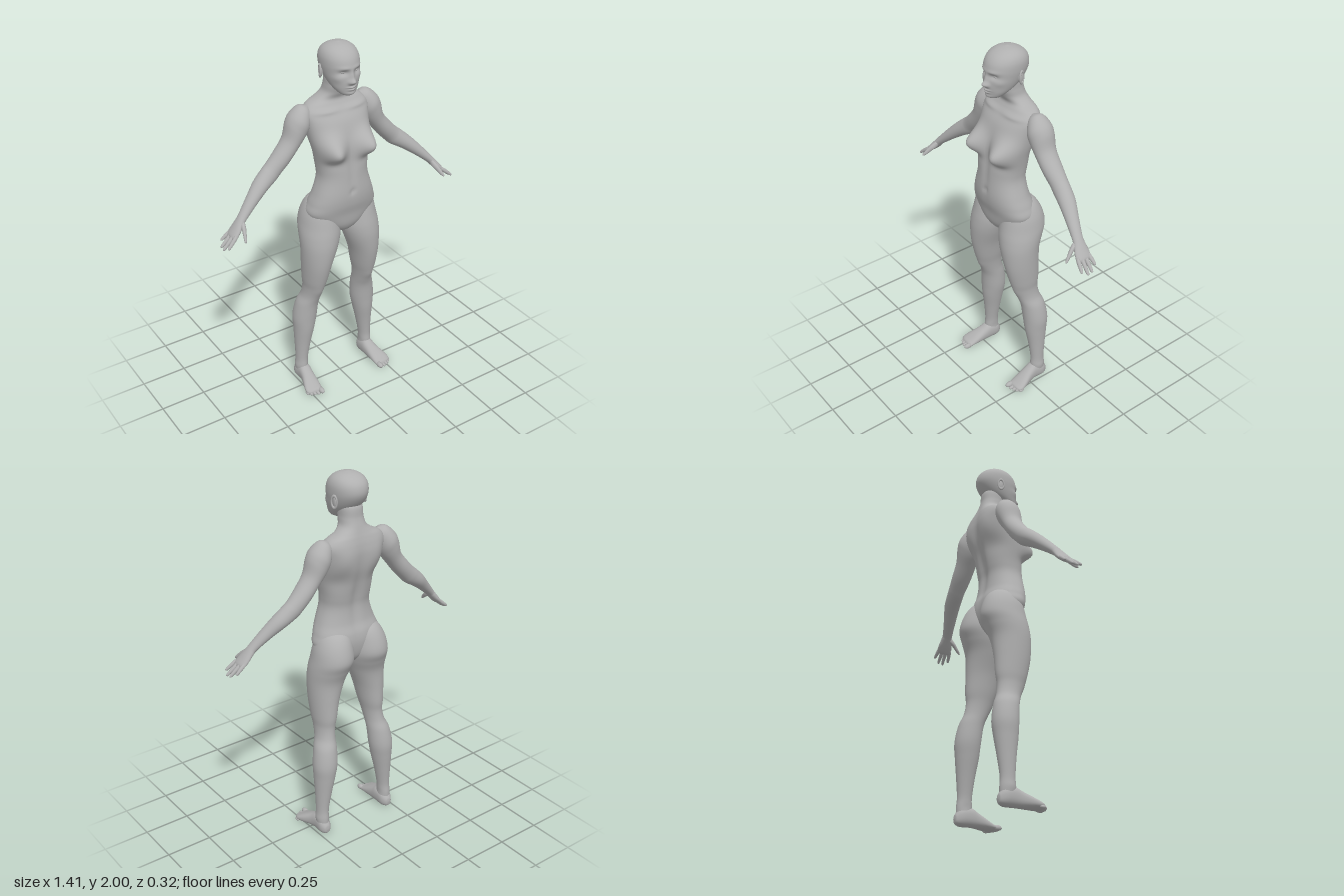
import * as THREE from 'three';

const V3 = (x, y, z) => new THREE.Vector3(x, y, z);
const skin = new THREE.MeshStandardMaterial({ color: 0xb0b0b0 });
skin.name = 'plain grey';

// Smooth closed loft. Each section is [t, uCentre, uRadius, vMax, vMin];
// frame is a right-handed (U, T, V) basis with t increasing along T.
// Each bump is { c: centre, s: spread, d: shift }, mirrored across u = 0.
function loft(sections, { frame, around = 40, steps = 60, power = 2, bumps = [] } = {}) {
  const curve = (pick) => new THREE.CatmullRomCurve3(sections.map(pick), false, 'catmullrom', 0.5);
  const centres = curve(([t, u, , a, b]) => V3(u, t, (a + b) / 2));
  const radii = curve(([, , r, a, b]) => V3(r, (a - b) / 2, 0));
  const pos = [], index = [];
  const round = (v) => Math.sign(v) * Math.abs(v) ** (2 / power);
  for (let i = 0; i <= steps; i++) {
    const c = centres.getPoint(i / steps), r = radii.getPoint(i / steps);
    for (let j = 0; j < around; j++) {
      const q = (j / around) * Math.PI * 2;
      const p = V3(c.x + Math.max(r.x, 0.001) * round(Math.cos(q)), c.y,
        c.z + Math.max(r.y, 0.001) * round(Math.sin(q)));
      const side = Math.sign(p.x), move = V3(0, 0, 0);
      for (const { c: m, s, d } of bumps) {
        const w = Math.exp(-(((Math.abs(p.x) - m[0]) / s[0]) ** 2
          + ((p.y - m[1]) / s[1]) ** 2 + ((p.z - m[2]) / s[2]) ** 2) / 2);
        move.add(V3(d[0] * side * w, d[1] * w, d[2] * w));
      }
      p.add(move);
      pos.push(p.x, p.y, p.z);
      const k = (j + 1) % around, a = i * around + j, b = i * around + k;
      if (i < steps) index.push(a, a + around, b, b, a + around, b + around);
    }
  }
  // End caps
  const end = (steps + 1) * around, first = centres.getPoint(0), last = centres.getPoint(1);
  pos.push(first.x, first.y, first.z, last.x, last.y, last.z);
  for (let j = 0; j < around; j++) {
    const k = (j + 1) % around, top = steps * around;
    index.push(end, j, k, end + 1, top + k, top + j);
  }
  const g = new THREE.BufferGeometry();
  g.setAttribute('position', new THREE.Float32BufferAttribute(pos, 3));
  g.setIndex(index);
  if (frame) g.applyMatrix4(frame);
  g.computeVertexNormals();
  return g;
}

function ball(x, y, z, rx, ry, rz) {
  return new THREE.SphereGeometry(1, 20, 14).scale(rx, ry, rz).translate(x, y, z);
}

// Mirror a geometry across x = 0, keeping faces outward
function mirror(geometry) {
  const g = geometry.clone().scale(-1, 1, 1), ix = g.index.array;
  for (let i = 0; i < ix.length; i += 3) [ix[i], ix[i + 1]] = [ix[i + 1], ix[i]];
  g.computeVertexNormals();
  return g;
}

export function createModel() {
  const model = new THREE.Group();
  model.name = 'mannequin';
  const add = (name, g) => {
    const mesh = new THREE.Mesh(g, skin);
    mesh.name = name;
    model.add(mesh);
  };
  const pair = (name, g) => {
    add('left' + name, g);
    add('right' + name, mirror(g));
  };

  // Torso and neck
  add('torso', loft([
    [0.965, 0, 0.02, 0.03, -0.03], [0.985, 0, 0.06, 0.065, -0.06],
    [1.03, 0, 0.13, 0.092, -0.095], [1.1, 0, 0.195, 0.105, -0.112],
    [1.16, 0, 0.185, 0.12, -0.11], [1.22, 0, 0.163, 0.125, -0.092],
    [1.3, 0, 0.138, 0.12, -0.085], [1.36, 0, 0.138, 0.115, -0.095],
    [1.44, 0, 0.15, 0.105, -0.115], [1.52, 0, 0.165, 0.09, -0.135],
    [1.6, 0, 0.178, 0.065, -0.142], [1.65, 0, 0.182, 0.035, -0.138],
    [1.685, 0, 0.155, 0.01, -0.13], [1.71, 0, 0.105, 0, -0.122],
    [1.74, 0, 0.07, 0.012, -0.112], [1.78, 0, 0.061, 0.025, -0.1],
    [1.84, 0, 0.055, 0.03, -0.09], [1.86, 0, 0.01, -0.02, -0.04],
  ], {
    around: 80, steps: 130, power: 2.3,
    bumps: [
      { c: [0.1, 1.475, 0.08], s: [0.042, 0.045, 0.1], d: [0.008, 0, 0.08] },  // chest
      { c: [0.1, 1.405, 0.1], s: [0.04, 0.02, 0.05], d: [0, 0, -0.014] },
      { c: [0, 1.36, 0.115], s: [0.015, 0.1, 0.05], d: [0, 0, -0.007] },       // midline
      { c: [0, 1.235, 0.125], s: [0.009, 0.011, 0.05], d: [0, 0, -0.008] },
      { c: [0, 1.4, -0.11], s: [0.022, 0.16, 0.05], d: [0, 0, 0.016] },        // spine
      { c: [0.1, 1.58, -0.12], s: [0.04, 0.06, 0.05], d: [0, 0, -0.012] },     // shoulder blade
      { c: [0.09, 1.66, 0.02], s: [0.05, 0.009, 0.04], d: [0, 0, 0.008] },     // collarbone
    ],
  }));

  // Head with brow, sockets, nose, lips, chin and cheeks
  add('head', loft([
    [1.752, 0, 0.018, 0.085, 0.045], [1.765, 0, 0.042, 0.1, 0.02],
    [1.79, 0, 0.063, 0.105, -0.02], [1.82, 0, 0.077, 0.108, -0.07],
    [1.86, 0, 0.088, 0.106, -0.107], [1.9, 0, 0.094, 0.107, -0.126],
    [1.94, 0, 0.092, 0.095, -0.122], [1.97, 0, 0.077, 0.07, -0.1],
    [1.99, 0, 0.047, 0.033, -0.063], [1.999, 0, 0.006, -0.01, -0.022],
  ], {
    around: 96, steps: 130, power: 2.1,
    bumps: [
      { c: [0, 1.858, 0.105], s: [0.009, 0.018, 0.03], d: [0, 0, 0.012] },
      { c: [0, 1.833, 0.108], s: [0.011, 0.01, 0.03], d: [0, 0, 0.022] },
      { c: [0.014, 1.829, 0.108], s: [0.006, 0.007, 0.03], d: [0, 0, 0.007] },
      { c: [0.036, 1.877, 0.09], s: [0.016, 0.01, 0.04], d: [0, 0, -0.013] },
      { c: [0.036, 1.9, 0.095], s: [0.022, 0.007, 0.04], d: [0, 0, 0.004] },
      { c: [0, 1.803, 0.108], s: [0.015, 0.0035, 0.03], d: [0, 0, 0.009] },
      { c: [0, 1.79, 0.106], s: [0.013, 0.004, 0.03], d: [0, 0, 0.009] },
      { c: [0, 1.768, 0.1], s: [0.018, 0.009, 0.03], d: [0, 0, 0.006] },
      { c: [0.06, 1.848, 0.07], s: [0.015, 0.014, 0.03], d: [0.004, 0, 0.003] },
    ],
  }));
  pair('Eye', ball(0.036, 1.877, 0.077, 0.014, 0.007, 0.013));

  // Ears: rim and inner bowl
  const rim = new THREE.TorusGeometry(0.02, 0.005, 10, 28).scale(0.8, 1.5, 1);
  pair('EarRim', rim.rotateY(Math.PI / 2 + 0.35).translate(0.094, 1.862, -0.032));
  pair('EarBowl', ball(0.089, 1.86, -0.031, 0.007, 0.028, 0.015));

  // Legs, carrying hips, knees and calves
  pair('Leg', loft([
    [0.03, 0.215, 0.03, -0.04, -0.11], [0.09, 0.215, 0.034, -0.028, -0.112],
    [0.15, 0.213, 0.034, -0.03, -0.108], [0.25, 0.205, 0.044, -0.02, -0.118],
    [0.35, 0.196, 0.057, -0.005, -0.13], [0.43, 0.19, 0.066, 0.002, -0.136],
    [0.52, 0.18, 0.061, 0.012, -0.122], [0.58, 0.167, 0.051, 0.03, -0.1],
    [0.64, 0.16, 0.052, 0.052, -0.092], [0.7, 0.156, 0.062, 0.075, -0.098],
    [0.8, 0.148, 0.077, 0.098, -0.1], [0.9, 0.132, 0.097, 0.108, -0.107],
    [0.97, 0.12, 0.108, 0.105, -0.132], [1.03, 0.112, 0.108, 0.095, -0.155],
    [1.1, 0.106, 0.099, 0.08, -0.142], [1.16, 0.095, 0.08, 0.06, -0.11],
    [1.2, 0.085, 0.04, 0.02, -0.06],
  ], {
    around: 48, steps: 110,
    bumps: [
      { c: [0.16, 0.63, 0.05], s: [0.025, 0.028, 0.03], d: [0, 0, 0.006] },   // kneecap
      { c: [0.215, 0.095, -0.07], s: [0.06, 0.015, 0.02], d: [0.003, 0, 0] }, // ankle
    ],
  }));

  // Feet run along z: sections are [z, yCentre, yRadius, xMax, xMin]
  const footFrame = new THREE.Matrix4().makeBasis(V3(0, 1, 0), V3(0, 0, 1), V3(1, 0, 0));
  pair('Foot', loft([
    [-0.123, 0.035, 0.006, 0.222, 0.208], [-0.117, 0.036, 0.026, 0.236, 0.195],
    [-0.09, 0.046, 0.046, 0.25, 0.18], [-0.04, 0.052, 0.05, 0.25, 0.178],
    [0, 0.043, 0.041, 0.256, 0.18], [0.05, 0.03, 0.029, 0.273, 0.182],
    [0.085, 0.021, 0.019, 0.28, 0.185], [0.105, 0.017, 0.013, 0.268, 0.188],
    [0.113, 0.015, 0.004, 0.24, 0.2],
  ], { frame: footFrame, around: 36, steps: 50, power: 2.3 }));
  [[0.2, 0.115, 0.015, 0.026], [0.224, 0.115, 0.01, 0.021], [0.243, 0.108, 0.0095, 0.02],
    [0.26, 0.1, 0.009, 0.018], [0.274, 0.088, 0.0085, 0.016]].forEach(([x, z, r, len], i) =>
    pair('Toe' + (i + 1), ball(x, r + 0.002, z, r, r, len)));

  // Arms run diagonally down and out from the shoulder
  const down = V3(0.68, -0.73, 0).normalize(), front = V3(0, 0, 1);
  const armFrame = new THREE.Matrix4()
    .makeBasis(down.clone().cross(front), down, front)
    .setPosition(0.2, 1.62, 0);
  const armPart = (name, sections, around, steps) =>
    pair(name, loft(sections, { frame: armFrame, around, steps }));
  armPart('Arm', [
    [-0.078, -0.008, 0.006, -0.05, -0.065], [-0.055, -0.01, 0.04, -0.018, -0.1],
    [0, 0, 0.061, 0.008, -0.125], [0.05, 0.012, 0.063, 0.008, -0.125],
    [0.12, 0.033, 0.047, 0, -0.115], [0.2, 0.04, 0.046, -0.005, -0.112],
    [0.27, 0.039, 0.046, -0.012, -0.105], [0.31, 0.035, 0.047, -0.01, -0.1],
    [0.38, 0.022, 0.04, 0, -0.088], [0.46, 0.013, 0.031, 0.012, -0.06],
    [0.55, 0.007, 0.022, 0.026, -0.032], [0.58, 0.007, 0.02, 0.034, -0.03],
    [0.62, 0.008, 0.018, 0.049, -0.033], [0.655, 0.007, 0.014, 0.054, -0.031],
    [0.668, 0.006, 0.006, 0.045, -0.022],
  ], 40, 90);

  // Fingers: [base z, tip z, tip t]
  [[0.045, 0.064, 0.718], [0.023, 0.035, 0.738], [0.001, 0.008, 0.734], [-0.02, -0.025, 0.708]]
    .forEach(([z0, z1, tip], i) => {
      const section = (k, r) => {
        const z = z0 + (z1 - z0) * k;
        return [0.64 + (tip - 0.64) * k, 0.007 - 0.01 * k, r, z + r, z - r];
      };
      armPart('Finger' + (i + 1), [section(0, 0.01), section(0.35, 0.0105), section(0.6, 0.0095),
        section(0.88, 0.0075), section(0.97, 0.005), section(1, 0.001)], 14, 20);
    });
  armPart('Thumb', [
    [0.565, 0.01, 0.008, 0.03, 0], [0.585, 0.016, 0.014, 0.055, 0.015],
    [0.605, 0.022, 0.012, 0.075, 0.042], [0.622, 0.028, 0.01, 0.091, 0.065],
    [0.637, 0.032, 0.007, 0.101, 0.084], [0.642, 0.033, 0.002, 0.1, 0.094],
  ], 18, 24);

  return model;
}
